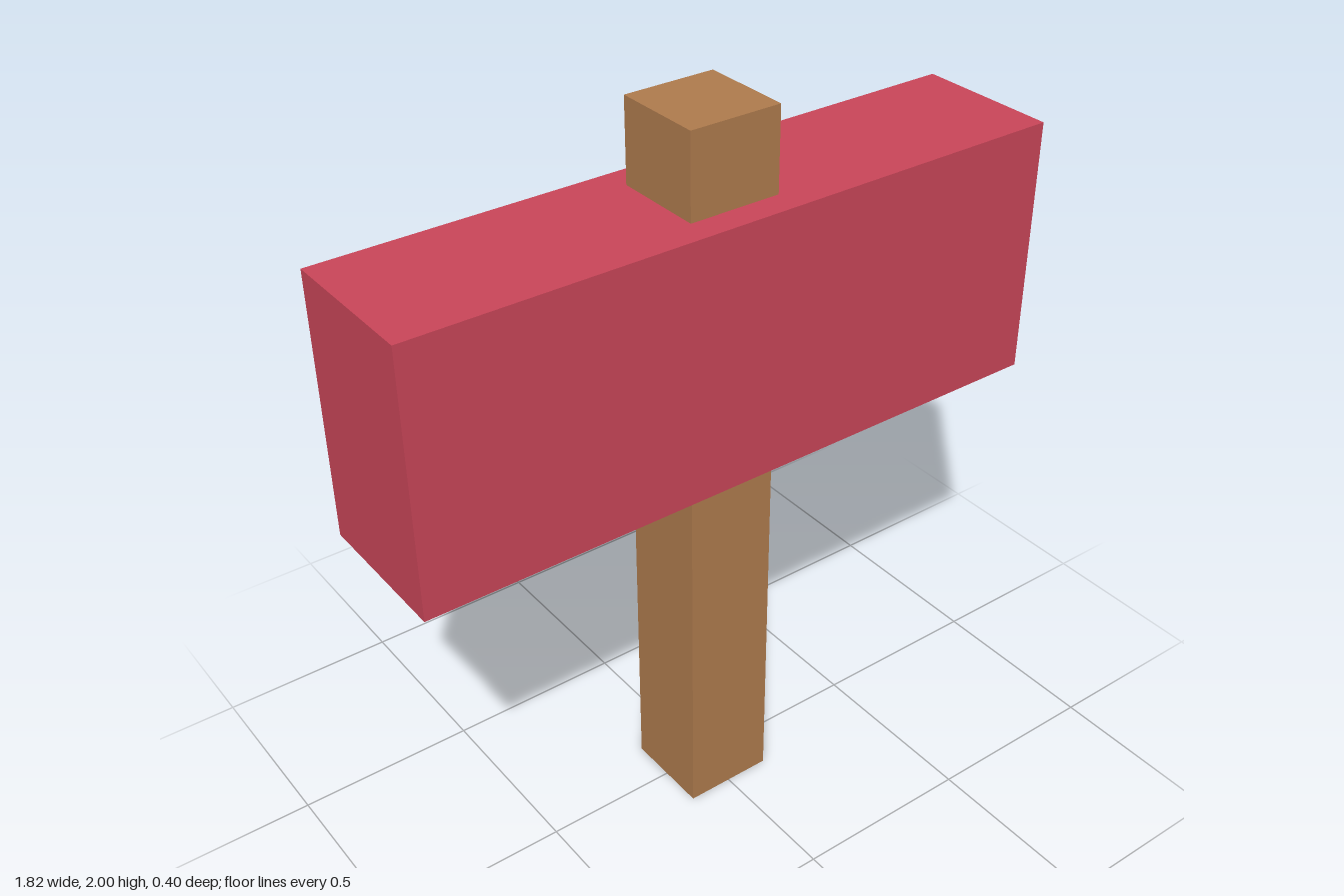
import * as THREE from 'three';

function box(name, material, width, depth, bottom, top) {
  const mesh = new THREE.Mesh(new THREE.BoxGeometry(width, top - bottom, depth), material);
  mesh.name = name;
  mesh.position.y = (bottom + top) / 2;
  return mesh;
}

export function createModel() {
  const wood = new THREE.MeshStandardMaterial({ color: 0xb07c4e });
  wood.name = 'wood';
  const red = new THREE.MeshStandardMaterial({ color: 0xca4659 });
  red.name = 'red';

  const model = new THREE.Group();
  model.name = 'mallet';
  // Square handle running up through the block
  model.add(box('handle', wood, 0.25, 0.25, 0, 2));
  // Wide block head
  model.add(box('head', red, 1.82, 0.4, 1.08, 1.78));
  return model;
}
